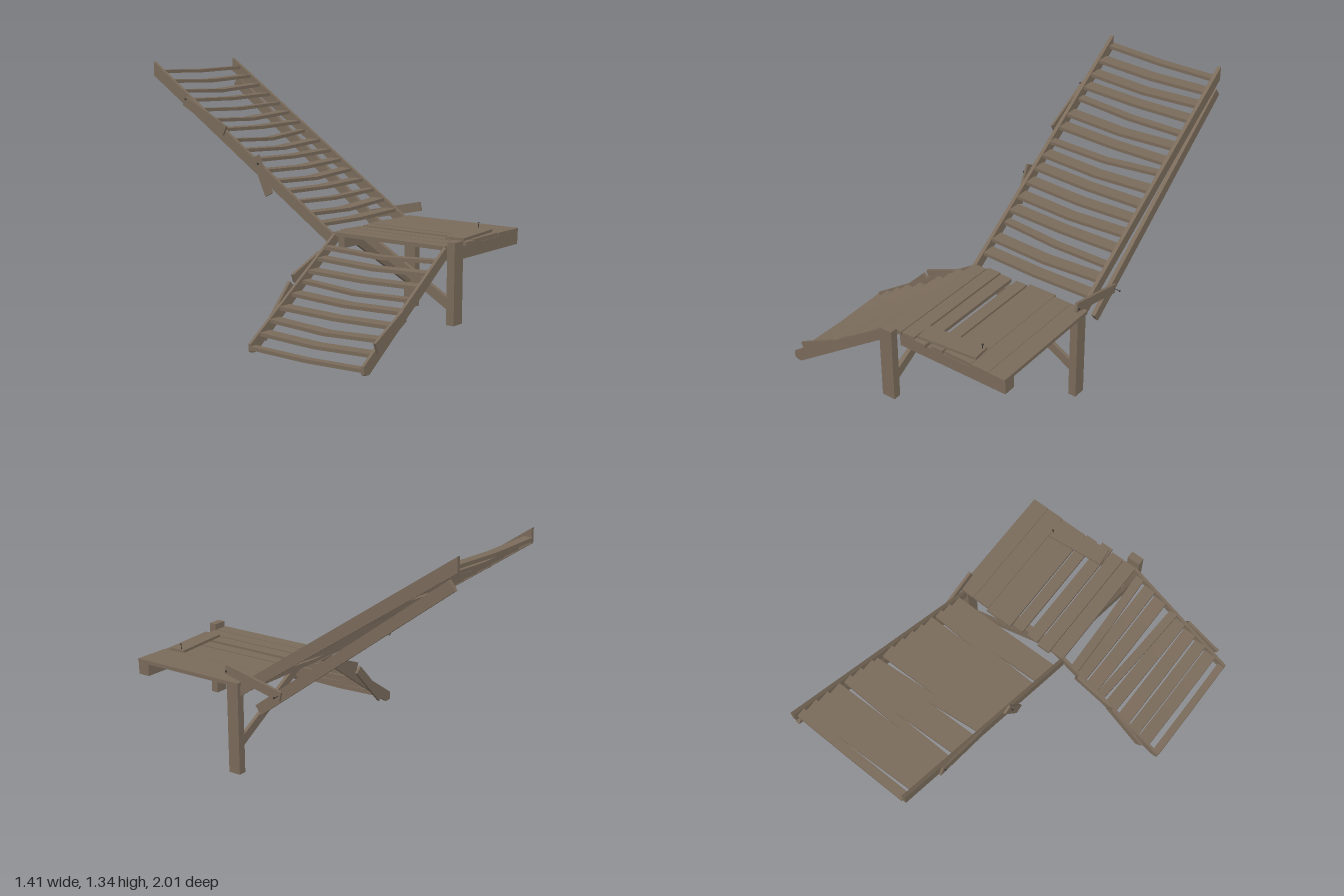
import * as THREE from 'three';

export function createModel() {
  const model = new THREE.Group();
  model.name = 'brokenLounger';
  const wood = new THREE.MeshStandardMaterial({ color: 0x7a6b5b });
  wood.name = 'weathered wood';
  const iron = new THREE.MeshStandardMaterial({ color: 0x3b3733 });
  iron.name = 'dark iron';

  const add = (name, geometry, material = wood, parent = model) => {
    const mesh = new THREE.Mesh(geometry, material);
    mesh.name = name;
    parent.add(mesh);
    return mesh;
  };
  const group = (name) => {
    const g = new THREE.Group();
    g.name = name;
    model.add(g);
    return g;
  };

  // Box given by its lower and upper limits
  const box = (name, x0, x1, y0, y1, z0, z1, parent) => {
    const mesh = add(name, new THREE.BoxGeometry(x1 - x0, y1 - y0, z1 - z0), wood, parent);
    mesh.position.set((x0 + x1) / 2, (y0 + y1) / 2, (z0 + z1) / 2);
    return mesh;
  };

  const outline = (points, depth) => new THREE.ExtrudeGeometry(
    new THREE.Shape(points.map(([a, b]) => new THREE.Vector2(a, b))),
    { depth, bevelEnabled: false });
  // Board with an (x, y) outline between two z values
  const boardXY = (name, points, z0, z1, parent) =>
    add(name, outline(points, z1 - z0).translate(0, 0, z0), wood, parent);
  // Board with a (z, y) outline between two x values
  const boardZY = (name, points, x0, x1, parent) =>
    add(name, outline(points, x1 - x0).rotateY(-Math.PI / 2).translate(x1, 0, 0), wood, parent);
  // Corners of a tilted rectangle
  const tilted = (cx, cy, length, width, degrees) => {
    const a = degrees * Math.PI / 180, c = Math.cos(a), s = Math.sin(a);
    return [[-1, -1], [1, -1], [1, 1], [-1, 1]].map(([u, v]) => [
      cx + u * length / 2 * c - v * width / 2 * s,
      cy + u * length / 2 * s + v * width / 2 * c]);
  };

  // Slat along x that sags in the middle
  const slatGeometry = (length, width, sag) => {
    const g = new THREE.BoxGeometry(length, 0.018, width, 4, 1, 1);
    const p = g.attributes.position;
    for (let i = 0; i < p.count; i++) {
      const t = 1 - Math.abs(p.getX(i)) / (length / 2);
      p.setY(i, p.getY(i) - sag * t);
    }
    g.computeVertexNormals();
    return g;
  };

  // Seat deck: uneven planks running front to back
  const deck = group('seatDeck');
  [[-0.03, 0.05, 0.26, 0.94], [0.055, 0.13, 0.245, 0.94], [0.14, 0.21, 0.255, 0.955],
    [0.24, 0.305, 0.255, 0.94], [0.315, 0.475, 0.24, 0.935], [0.477, 0.578, 0.255, 0.94],
    [0.58, 0.677, 0.255, 0.942]].forEach(([x0, x1, z0, z1]) =>
    box('seatPlank', x0, x1, 0.48, 0.5, z0, z1, deck));
  box('frontBeam', 0.04, 0.677, 0.415, 0.48, 0.87, 0.938);
  box('backBeam', -0.01, 0.63, 0.42, 0.48, 0.28, 0.32);
  const loose = box('loosePlank', 0.145, 0.475, 0.501, 0.515, 0.818, 0.918);
  loose.rotation.y = 0.095;

  // Two remaining legs and their braces
  box('frontLeg', -0.038, 0.038, 0.115, 0.525, 0.957, 1);
  box('backLeg', 0.627, 0.671, 0, 0.485, 0.262, 0.332);
  boardXY('backLegBrace', [[0.63, 0.12], [0.63, 0.178], [0.1, 0.48], [0.02, 0.48]], 0.285, 0.305);
  boardZY('frontLegBrace', [[0.96, 0.175], [0.96, 0.235], [0.51, 0.488], [0.42, 0.488]], -0.012, 0.012);

  // Backrest: two rails and level slats
  const back = group('backrest');
  const railLine = [[0.26, 0.425], [0.26, 0.492], [-1, 1.338], [-1, 1.262]];
  [[-0.038, -0.018], [0.632, 0.652]].forEach(([x0, x1]) =>
    boardZY('backrestRail', railLine, x0, x1, back));
  const backYaw = { 0: -0.035, 4: -0.05, 7: 0.07, 13: -0.055 };
  for (let i = 0; i < 16; i++) {
    const odd = backYaw[i] !== undefined;
    const sag = 0.008 + 0.004 * (i % 3) + (i === 7 ? 0.008 : 0);
    const slat = add('backrestSlat', slatGeometry(0.654, odd ? 0.048 : 0.075, sag), wood, back);
    slat.position.set(0.307, 1.283 - i * 0.0503, -0.972 + i * 0.0752);
    slat.rotation.set(0, odd ? backYaw[i] : 0.006 * ((i % 3) - 1), 0.003 * ((i % 3) - 1));
  }
  // Loose rail and splints nailed to the backrest
  boardZY('fallenRail', tilted(-0.418, 0.79, 1.39, 0.057, 143.5), 0.636, 0.658);
  boardZY('armSplint', tilted(0.165, 0.52, 0.36, 0.05, 12.5), 0.655, 0.67);
  boardZY('backrestSplint', tilted(-0.2, 0.757, 0.22, 0.05, 115), -0.05, -0.038);
  boardZY('backrestSplint', tilted(-0.61, 1.055, 0.33, 0.055, 153), -0.05, -0.038);

  // Footrest: slopes down to the ground on the side
  const foot = group('footrest');
  const footLine = [[-0.705, 0.008], [-0.69, 0], [-0.662, 0], [0.03, 0.475], [-0.03, 0.495], [-0.705, 0.045]];
  [[0.262, 0.278], [0.93, 0.946]].forEach(([z0, z1]) =>
    boardXY('footrestRail', footLine, z0, z1, foot));
  // Each slat: x, y, width, yaw
  [[-0.686, 0.025, 0.042, 0.005], [-0.6, 0.08, 0.075, 0], [-0.526, 0.132, 0.07, 0],
    [-0.447, 0.182, 0.078, 0.004], [-0.362, 0.235, 0.078, -0.02], [-0.3, 0.285, 0.05, -0.06],
    [-0.222, 0.33, 0.078, 0], [-0.145, 0.382, 0.072, 0], [-0.088, 0.432, 0.05, 0.045],
  ].forEach(([x, y, width, yaw], i) => {
    const slat = add('footrestSlat', slatGeometry(0.654, width, 0.008 + 0.004 * (i % 3)), wood, foot);
    slat.position.set(x, y, 0.604);
    slat.rotation.y = Math.PI / 2 + yaw;
  });
  boardXY('footrestSplint', tilted(-0.51, 0.17, 0.25, 0.062, 27), 0.946, 0.96);
  boardXY('footrestSplint', tilted(-0.24, 0.35, 0.235, 0.045, 22), 0.246, 0.262);
  boardXY('footrestSplint', tilted(-0.475, 0.165, 0.32, 0.05, 46), 0.246, 0.262);

  // Nails sticking out, each as tip, direction
  const up = new THREE.Vector3(0, 1, 0);
  [[0.46, 0.51, 0.83, 0.1, 1, 0], [0.67, 0.485, 0, 1, 0, 0], [0.67, 0.55, 0.33, 0.2, 0, 0],
    [-0.05, 1.14, -0.74, -0.3, 0, 0], [-0.05, 0.82, -0.22, -0.3, 0, 0],
  ].forEach(([x, y, z, dx, dy, dz]) => {
    const direction = new THREE.Vector3(dx, dy, dz);
    const length = 0.033 * direction.length();
    const nail = group('nail');
    add('nailShaft', new THREE.CylinderGeometry(0.002, 0.002, length, 6).translate(0, length / 2, 0), iron, nail);
    add('nailHead', new THREE.CylinderGeometry(0.006, 0.006, 0.003, 8).translate(0, length, 0), iron, nail);
    nail.position.set(x, y, z);
    nail.quaternion.setFromUnitVectors(up, direction.normalize());
  });

  return model;
}
